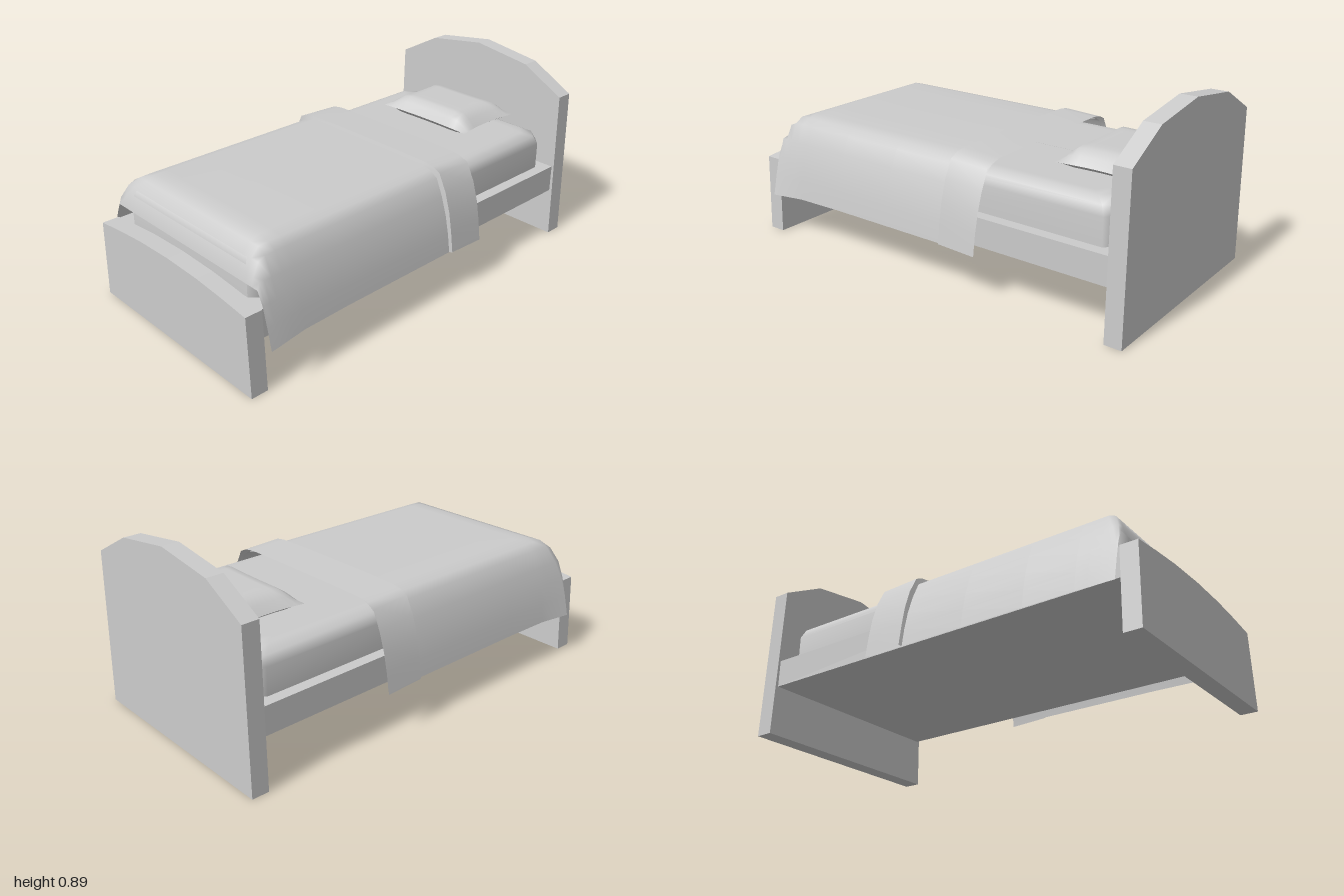
import * as THREE from 'three';

const grey = new THREE.MeshStandardMaterial({ color: 0xcccccc });
const cloth = new THREE.MeshStandardMaterial({ color: 0xcccccc, side: THREE.DoubleSide });

// Smooth skin over rows of [x, y, z] points
function sheet(rows) {
  const n = rows[0].length, index = [];
  for (let r = 0; r < rows.length - 1; r++) {
    for (let c = 0; c < n - 1; c++) {
      const a = r * n + c, b = a + n;
      index.push(a, b, a + 1, a + 1, b, b + 1);
    }
  }
  const g = new THREE.BufferGeometry();
  g.setAttribute('position', new THREE.Float32BufferAttribute(rows.flat(2), 3));
  g.setIndex(index);
  g.computeVertexNormals();
  return g;
}

// Mirror a half profile of [x, y] into a full one running from -x to +x
const mirror = half => [...half.slice(1).reverse().map(([x, y]) => [-x, y]), ...half];

// End board: half outline, mirrored and extruded
function board(half, z) {
  const shape = new THREE.Shape(mirror(half).map(p => new THREE.Vector2(...p)));
  return new THREE.ExtrudeGeometry(shape, { depth: 0.08, bevelEnabled: false }).translate(0, 0, z);
}

// Mattress: chamfered rectangle stacked in rings, drawn in at the top
function mattress() {
  const levels = [[0.35, 0], [0.49, 0], [0.53, 0.017], [0.55, 0.06], [0.55, 0.1], [0.55, 0.449]];
  return sheet(levels.reverse().map(([y, inset]) => {
    const x = 0.45 - inset, z = 0.905 - inset, c = Math.min(0.05, x * 0.5);
    const ring = [[x - c, z], [x, z - c], [x, c - z], [x - c, -z], [c - x, -z], [-x, c - z], [-x, z - c], [c - x, z]];
    return [...ring, ring[0]].map(([px, pz]) => [px, y, pz]);
  }));
}

// Blanket: draped section, cut lower row by row where it turns over the foot
const drape = [[0, 0.59], [0.2, 0.59], [0.36, 0.588], [0.41, 0.575], [0.45, 0.55], [0.485, 0.47], [0.512, 0.385], [0.53, 0.3], [0.542, 0.215]];
function blanket() {
  const rows = [[-0.3, 1], [-0.12, 1], [0.2, 1], [0.5, 1], [0.74, 1], [0.8, 0.588], [0.85, 0.573], [0.885, 0.535], [0.91, 0.48], [0.92, 0.44]];
  return sheet(rows.map(([z, top]) => {
    const foot = Math.max(0, (z - 0.7) / 0.22);
    return mirror(drape).map(([x, y]) => {
      const low = Math.max(0, (0.35 - y) / 0.14);
      return [x * (1 + 0.03 * foot * low), Math.min(top, y) - 0.015 * foot * low, z];
    });
  }));
}

// Folded band: thicker drape with a step down to the blanket
function fold() {
  const outer = [[0, 0.605], [0.2, 0.605], [0.37, 0.602], [0.42, 0.594], [0.46, 0.575], [0.5, 0.495], [0.527, 0.405], [0.543, 0.315], [0.556, 0.218]];
  const row = (half, z, dy) => mirror(half).map(([x, y]) => [x, y + dy, z]);
  return [
    sheet([row(outer, -0.31, -0.008), row(outer, -0.12, 0)]),
    sheet([row(outer, -0.12, 0), row(drape, -0.115, 0)]),
  ];
}

// Pillow half: puffed sheet with pinched corners; dir is 1 for top, -1 for bottom
function pillow(dir, height) {
  const rows = [], nx = 14, nz = 12;
  const puff = t => Math.sin(Math.min(1, (1 - Math.abs(t)) / 0.38) * Math.PI / 2);
  for (let j = 0; j <= nz; j++) {
    const row = [];
    for (let i = 0; i <= nx; i++) {
      const u = (i / nx * 2 - 1) * dir, v = j / nz * 2 - 1;
      const x = 0.265 * u * (1 - 0.07 * (1 - v * v));
      const z = 0.185 * v * (1 - 0.06 * (1 - u * u));
      row.push([x + 0.005, 0.588 + dir * height * puff(u) * puff(v), z - 0.695]);
    }
    rows.push(row);
  }
  return sheet(rows);
}

export function createModel() {
  const bed = new THREE.Group();
  bed.name = 'bed';
  const add = (name, geometry, material = grey) => {
    const mesh = new THREE.Mesh(geometry, material);
    mesh.name = name;
    bed.add(mesh);
  };

  add('headboard', board([[0, 0.887], [0.295, 0.845], [0.507, 0.73], [0.522, 0]], -1));
  add('footboard', board([[0, 0.405], [0.2, 0.399], [0.36, 0.385], [0.508, 0.367], [0.522, 0]], 0.92));
  add('bedFrame', new THREE.BoxGeometry(1.005, 0.13, 1.84).translate(0, 0.3, 0));
  add('mattress', mattress(), cloth);
  add('blanket', blanket(), cloth);
  const [band, edge] = fold();
  add('blanketFold', band, cloth);
  add('blanketFoldEdge', edge, cloth);
  add('pillowTop', pillow(1, 0.06), cloth);
  add('pillowBottom', pillow(-1, 0.04), cloth);
  return bed;
}
